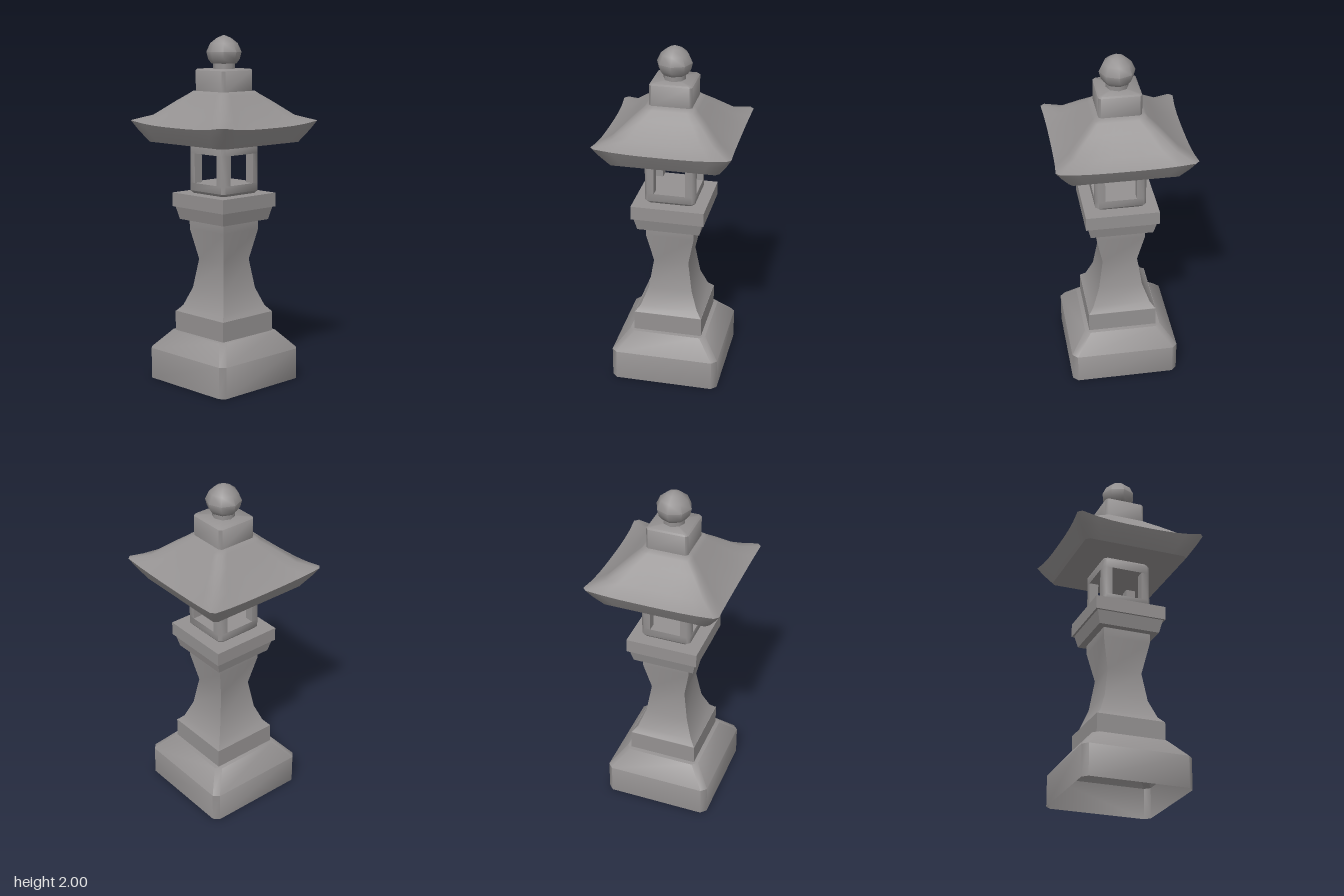
import * as THREE from 'three';
import { toCreasedNormals } from 'three/addons/utils/BufferGeometryUtils.js';

// One square ring with cut corners; flare and lift bend the corners out and up.
function squareRing({ h, y, c = 0, flare = 0, lift = 0 }, n) {
  const points = [];
  for (let side = 0; side < 4; side++) {
    for (let i = 0; i <= n; i++) {
      const t = (2 * i) / n - 1;
      const bend = n > 1 ? Math.abs(t) ** 3 : 1;
      let x = t * (h - c + flare);
      let z = h + flare * bend;
      for (let k = 0; k < side; k++) [x, z] = [z, -x];
      points.push(new THREE.Vector3(x, y + lift * bend, z));
    }
  }
  return points;
}

// Skin a stack of square rings from bottom to top, with optional caps.
function squareLoft(sections, { n = 1, bottom = true, top = true, crease = 0.82 } = {}) {
  const rings = sections.map((s) => squareRing(s, n));
  const verts = [];
  const tri = (a, b, c) => {
    const area = b.clone().sub(a).cross(c.clone().sub(a)).length();
    if (area > 1e-8) for (const p of [a, b, c]) verts.push(p.x, p.y, p.z);
  };
  const count = rings[0].length;
  for (let r = 0; r < rings.length - 1; r++) {
    for (let i = 0; i < count; i++) {
      const j = (i + 1) % count;
      const low = rings[r], high = rings[r + 1];
      tri(low[i], low[j], high[j]);
      tri(low[i], high[j], high[i]);
    }
  }
  const first = rings[0], last = rings[rings.length - 1];
  const lowCentre = new THREE.Vector3(0, sections[0].y, 0);
  const highCentre = new THREE.Vector3(0, sections[sections.length - 1].y, 0);
  for (let i = 0; i < count; i++) {
    const j = (i + 1) % count;
    if (bottom) tri(lowCentre, first[j], first[i]);
    if (top) tri(highCentre, last[i], last[j]);
  }
  const geometry = new THREE.BufferGeometry();
  geometry.setAttribute('position', new THREE.Float32BufferAttribute(verts, 3));
  return toCreasedNormals(geometry, crease);
}

export function createModel() {
  const model = new THREE.Group();
  model.name = 'stoneLantern';
  const stone = new THREE.MeshStandardMaterial({ color: 0x949191, side: THREE.DoubleSide });
  stone.name = 'greyStone';
  const add = (name, geometry, parent = model) => {
    const mesh = new THREE.Mesh(geometry, stone);
    mesh.name = name;
    parent.add(mesh);
    return mesh;
  };

  // Hollow foot with sloping shoulders
  add('base', squareLoft([
    { h: 0.315, y: 0, c: 0.03 },
    { h: 0.315, y: 0.18, c: 0.03 },
    { h: 0.225, y: 0.285, c: 0.03 },
  ], { bottom: false }));
  add('plinth', squareLoft([{ h: 0.2, y: 0.285 }, { h: 0.2, y: 0.4 }]));

  // Waisted shaft
  add('shaft', squareLoft([
    { h: 0.198, y: 0.4 },
    { h: 0.168, y: 0.435 },
    { h: 0.128, y: 0.54 },
    { h: 0.102, y: 0.71 },
    { h: 0.14, y: 0.89 },
    { h: 0.14, y: 0.945 },
  ]));

  // Flared corbel and slab under the lamp
  add('corbel', squareLoft([{ h: 0.18, y: 0.945 }, { h: 0.198, y: 1.02 }]));
  add('platform', squareLoft([{ h: 0.21, y: 1.02 }, { h: 0.21, y: 1.1 }]));

  // Open lamp chamber: floor, ceiling and four posts with cut outer corners
  const lamp = new THREE.Group();
  lamp.name = 'lampChamber';
  model.add(lamp);
  add('lampFloor', squareLoft([
    { h: 0.132, y: 1.1, c: 0.018 },
    { h: 0.145, y: 1.115, c: 0.018 },
    { h: 0.145, y: 1.16, c: 0.018 },
  ]), lamp);
  add('lampCeiling', squareLoft([
    { h: 0.145, y: 1.33, c: 0.018 },
    { h: 0.145, y: 1.38, c: 0.018 },
    { h: 0.132, y: 1.397, c: 0.018 },
  ]), lamp);
  const postShape = new THREE.Shape([
    [0.09, 0.09], [0.145, 0.09], [0.145, 0.127], [0.127, 0.145], [0.09, 0.145],
  ].map(([x, y]) => new THREE.Vector2(x, y)));
  const postGeometry = toCreasedNormals(
    new THREE.ExtrudeGeometry(postShape, { depth: 0.17, bevelEnabled: false })
      .rotateX(-Math.PI / 2).translate(0, 1.16, 0), 0.82);
  for (let i = 0; i < 4; i++) add('lampPost', postGeometry, lamp).rotation.y = (i * Math.PI) / 2;

  // Roof: flared eaves and a concave slope, with corners turned up
  add('eaves', squareLoft([
    { h: 0.31, y: 1.395, c: 0.02 },
    { h: 0.35, y: 1.455, c: 0.02, flare: 0.006, lift: 0.01 },
    { h: 0.374, y: 1.495, c: 0.022, flare: 0.012, lift: 0.022 },
  ], { n: 8, top: false }));
  add('roof', squareLoft([
    { h: 0.374, y: 1.495, c: 0.022, flare: 0.012, lift: 0.022 },
    { h: 0.29, y: 1.54, c: 0.02, flare: 0.005, lift: 0.008 },
    { h: 0.2, y: 1.63, c: 0.02 },
    { h: 0.15, y: 1.67, c: 0.02 },
    { h: 0.134, y: 1.685, c: 0.02 },
  ], { n: 8, bottom: false }));

  // Block on the roof
  add('roofBlock', squareLoft([
    { h: 0.12, y: 1.685, c: 0.014 },
    { h: 0.12, y: 1.802, c: 0.014 },
    { h: 0.112, y: 1.81, c: 0.012 },
  ]));

  // Eight-sided finial on a short neck
  const neck = new THREE.CylinderGeometry(0.063, 0.063, 0.04, 8);
  add('finialNeck', neck).position.y = 1.828;
  const profile = [[0, 1.836], [0.072, 1.84], [0.09, 1.865], [0.1, 1.905], [0.078, 1.953], [0.042, 1.982], [0, 2]]
    .map(([r, y]) => new THREE.Vector2(r, y));
  add('finial', toCreasedNormals(new THREE.LatheGeometry(profile, 8), 0.95));

  return model;
}
